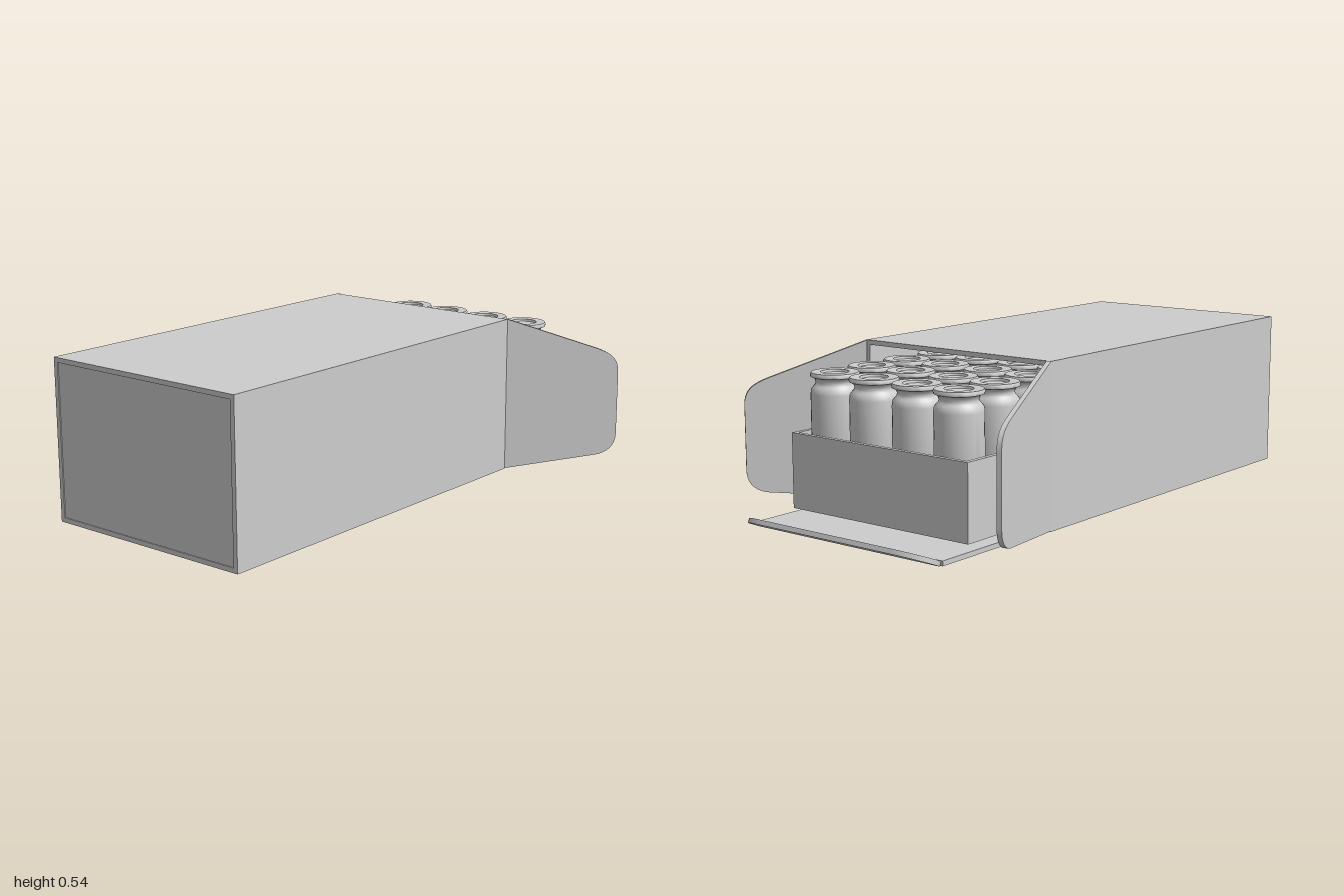
import * as THREE from 'three';
import { toCreasedNormals } from 'three/addons/utils/BufferGeometryUtils.js';

const T = 0.016; // card thickness

export function createModel() {
  const model = new THREE.Group();
  model.name = 'openCartonWithVials';
  const grey = new THREE.MeshStandardMaterial({ color: 0xcccccc });
  grey.name = 'grey card';

  function add(parent, name, geometry) {
    const mesh = new THREE.Mesh(geometry, grey);
    mesh.name = name;
    parent.add(mesh);
    return mesh;
  }

  // Box given by its minimum and maximum corners
  function block(parent, name, x0, x1, y0, y1, z0, z1) {
    const mesh = add(parent, name, new THREE.BoxGeometry(x1 - x0, y1 - y0, z1 - z0));
    mesh.position.set((x0 + x1) / 2, (y0 + y1) / 2, (z0 + z1) / 2);
    return mesh;
  }

  // Carton sleeve, open at the +x end
  const X0 = -1, X1 = 0.383, H = 0.543, Z0 = -0.46, Z1 = 0.315;
  const carton = new THREE.Group();
  carton.name = 'carton';
  model.add(carton);
  block(carton, 'cartonTop', X0, X1, H - T, H, Z0, Z1);
  block(carton, 'cartonBottom', X0, X1, 0, T, Z0, Z1);
  block(carton, 'cartonFront', X0, X1, T, H - T, Z1 - T, Z1);
  block(carton, 'cartonBack', X0, X1, T, H - T, Z0, Z0 + T);
  block(carton, 'cartonEnd', X0 + 0.003, X0 + T, T, H - T, Z0 + T, Z1 - T);

  // Side flaps: tapered, with rounded outer corners, swung open at the hinge
  const L = 0.412;
  const flapShape = new THREE.Shape();
  flapShape.moveTo(0, 0.002);
  flapShape.lineTo(0.335, 0.034);
  flapShape.bezierCurveTo(0.38, 0.038, L, 0.065, L, 0.11);
  flapShape.lineTo(L, 0.335);
  flapShape.bezierCurveTo(L, 0.385, 0.385, 0.405, 0.335, 0.424);
  flapShape.lineTo(0, H);
  function sideFlap(name, z, angle, offset) {
    const geometry = new THREE.ExtrudeGeometry(flapShape, { depth: T, bevelEnabled: false, curveSegments: 10 });
    geometry.translate(0, 0, offset);
    const flap = add(carton, name, toCreasedNormals(geometry, 0.6));
    flap.position.set(X1, 0, z);
    flap.rotation.y = angle;
  }
  sideFlap('backFlap', Z0, 0.288, 0);
  sideFlap('frontFlap', Z1, -0.706, -T);

  // Bottom flap with its tuck tongue bent upward
  block(carton, 'bottomFlap', X1, 0.898, 0.004, 0.004 + T, Z0 + 0.006, Z1 - 0.006);
  const half = 0.382;
  const tongueShape = new THREE.Shape();
  tongueShape.moveTo(0, -half + 0.008);
  tongueShape.lineTo(0.02, -half);
  tongueShape.bezierCurveTo(0.07, -half, 0.104, -half + 0.05, 0.104, -half + 0.12);
  tongueShape.lineTo(0.104, half - 0.12);
  tongueShape.bezierCurveTo(0.104, half - 0.05, 0.07, half, 0.02, half);
  tongueShape.lineTo(0, half - 0.008);
  const tongueGeo = new THREE.ExtrudeGeometry(tongueShape, { depth: T, bevelEnabled: false, curveSegments: 10 });
  tongueGeo.rotateX(-Math.PI / 2);
  const tongue = add(carton, 'tuckTongue', toCreasedNormals(tongueGeo, 0.6));
  tongue.position.set(0.903, 0.003, (Z0 + Z1) / 2);
  tongue.rotation.z = 0.4;

  // Tray sliding out of the carton
  const tx0 = -0.5, tx1 = 0.753, ty0 = 0.034, ty1 = 0.284, tz0 = -0.43, tz1 = 0.302;
  const tray = new THREE.Group();
  tray.name = 'tray';
  model.add(tray);
  block(tray, 'trayFloor', tx0, tx1, ty0, ty0 + T, tz0, tz1);
  block(tray, 'trayFront', tx0, tx1, ty0 + T, ty1, tz1 - T, tz1);
  block(tray, 'trayBack', tx0, tx1, ty0 + T, ty1, tz0, tz0 + T);
  block(tray, 'trayOuterEnd', tx1 - T, tx1, ty0 + T, ty1, tz0 + T, tz1 - T);
  block(tray, 'trayInnerEnd', tx0, tx0 + T, ty0 + T, ty1, tz0 + T, tz1 - T);

  // Vials: body, rounded shoulder, grooved neck and rim with a dished stopper
  const profile = [
    [0, 0.051], [0.07, 0.051], [0.079, 0.06], [0.079, 0.41], [0.077, 0.424], [0.071, 0.432],
    [0.065, 0.438], [0.062, 0.447], [0.065, 0.457], [0.071, 0.462], [0.079, 0.465],
    [0.08, 0.474], [0.077, 0.479], [0.046, 0.479], [0.044, 0.471], [0.03, 0.467], [0, 0.465],
  ].map(([r, y]) => new THREE.Vector2(r, y));
  const vialGeo = toCreasedNormals(new THREE.LatheGeometry(profile, 32), 0.8);
  const vials = new THREE.Group();
  vials.name = 'vials';
  model.add(vials);
  for (let row = 0; row < 7; row++) {
    for (const z of [0.207, 0.037, -0.143, -0.311]) {
      add(vials, 'vial', vialGeo).position.set(0.648 - row * 0.174, 0, z);
    }
  }

  return model;
}
